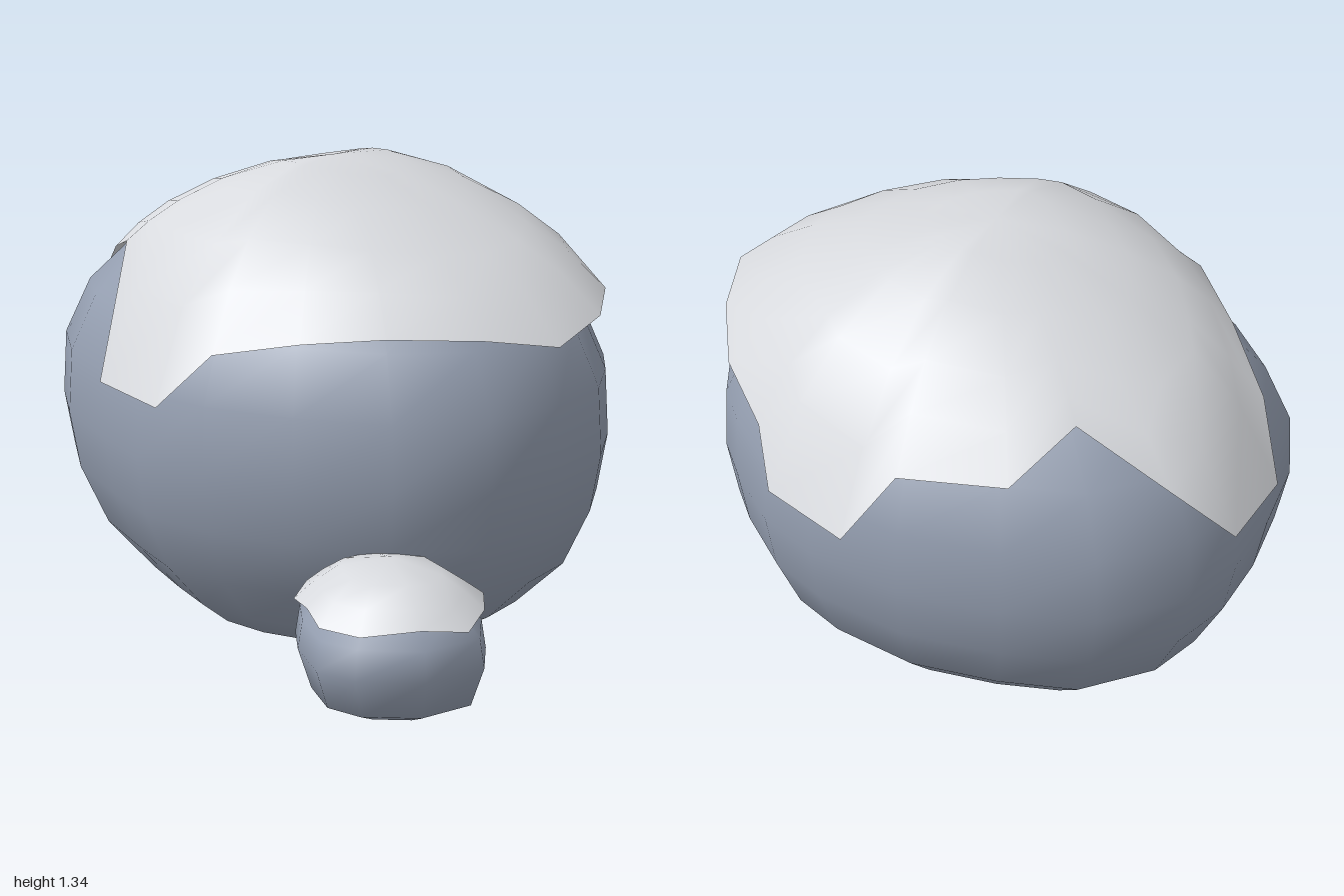
import * as THREE from 'three';
import { mergeVertices } from 'three/addons/utils/BufferGeometryUtils.js';

// Joins closed rings of points, listed from bottom to top, into a smooth surface
function loft(rings) {
  const n = rings[0].length, index = [];
  for (let i = 0; i < rings.length - 1; i++) {
    for (let j = 0; j < n; j++) {
      const k = (j + 1) % n;
      const a = i * n + j, b = i * n + k, c = a + n, d = b + n;
      index.push(a, c, b, b, c, d);
    }
  }
  const geo = new THREE.BufferGeometry();
  geo.setAttribute('position', new THREE.Float32BufferAttribute(rings.flat(2), 3));
  geo.setIndex(index);
  const merged = mergeVertices(geo, 1e-4);
  merged.computeVertexNormals();
  return merged;
}

// Linear lookup in a list of [input, output] pairs
function lookup(table, t) {
  for (let i = 1; i < table.length; i++) {
    const [x0, y0] = table[i - 1], [x1, y1] = table[i];
    if (t <= x1) return y0 + (y1 - y0) * (t - x0) / (x1 - x0);
  }
  return table[table.length - 1][1];
}

// Distance from the centre to the plan outline in the direction of (x, z)
function planRadius(plan, x, z) {
  for (let i = 0; i < plan.length; i++) {
    const [ax, az] = plan[i], [bx, bz] = plan[(i + 1) % plan.length];
    const ex = bx - ax, ez = bz - az, len = Math.hypot(x, z);
    const det = x * ez - z * ex;
    if (Math.abs(det) < 1e-9) continue;
    const t = (ax * ez - az * ex) / det, s = (ax * z - az * x) / det;
    if (t > 0 && s >= -1e-6 && s <= 1 + 1e-6) return t * len;
  }
  return 1;
}

// Stone body: the plan outline scaled, and shifted in z, at each height of the profile
function stone(plan, profile, peakX) {
  const top = profile[profile.length - 1][0];
  return loft(profile.map(([y, s, dz = 0]) => plan.map(([x, z]) =>
    [x * s + peakX * (1 - s) * y / top, y, z * s + dz])));
}

// Snow cap: a dome over the stone, fuller by bulge to front and back, with a ragged edge
function snowCap(plan, dome, bulge, edge, steps, peakX) {
  return loft(steps.map(f => edge.map(([x, z, y]) => {
    const len = Math.hypot(x, z);
    const rho = len / planRadius(plan, x, z);
    const height = r => lookup(dome, r) + bulge * (z / len) ** 2 * Math.max(0, 4 * r * (1 - r * r));
    const s = f * ((1 - f) / rho + f);
    const h = height(s * rho) + f ** 4 * (y - height(rho));
    return [x * s + peakX * (1 - f), h, z * s];
  })));
}

const bigPlan = [
  [0.85, 0], [0.84, 0.26], [0.68, 0.47], [0.45, 0.62], [0.2, 0.72], [-0.05, 0.75], [-0.28, 0.69],
  [-0.57, 0.6], [-0.79, 0.46], [-0.88, 0.22], [-0.93, 0], [-0.92, -0.2], [-0.79, -0.44],
  [-0.57, -0.58], [-0.3, -0.7], [0, -0.735], [0.2, -0.71], [0.42, -0.61], [0.55, -0.53],
  [0.67, -0.4], [0.8, -0.22],
];
const bigProfile = [
  [0, 0, 0.03], [0.005, 0.35, 0.03], [0.02, 0.56, 0.03], [0.09, 0.7, 0.01], [0.23, 0.87], [0.4, 0.965],
  [0.57, 1], [0.76, 0.985], [0.93, 0.89], [1.07, 0.72], [1.17, 0.5], [1.26, 0.25], [1.3, 0],
];
const bigDome = [[0, 1.34], [0.25, 1.3], [0.53, 1.21], [0.76, 1.1], [0.95, 0.965], [1, 0.89], [1.07, 0.76]];
const bigEdge = [
  [0.85, 0.02, 0.925], [0.77, 0.22, 0.96], [0.61, 0.43, 0.97], [0.42, 0.56, 0.945], [0.21, 0.69, 0.9],
  [0.09, 0.79, 0.75], [-0.19, 0.765, 0.765], [-0.4, 0.5, 1.1], [-0.6, 0.39, 1.04], [-0.8, 0.27, 0.94],
  [-0.94, 0.16, 0.77], [-1, -0.12, 0.78], [-0.86, -0.23, 0.92], [-0.63, -0.35, 1.09],
  [-0.57, -0.55, 0.97], [-0.3, -0.69, 0.95], [-0.19, -0.795, 0.75], [0.1, -0.78, 0.76],
  [0.2, -0.71, 0.9], [0.42, -0.61, 0.96], [0.62, -0.43, 0.985], [0.8, -0.2, 0.97],
];

// The small stone is measured from its own centre
const smallPlan = [
  [0.26, -0.07], [0.23, 0.11], [0.1, 0.235], [-0.02, 0.26], [-0.17, 0.19], [-0.27, 0.11],
  [-0.29, -0.06], [-0.18, -0.19], [-0.01, -0.25], [0.16, -0.18],
];
const smallProfile = [
  [0.02, 0], [0.025, 0.57], [0.06, 0.86], [0.17, 1], [0.25, 0.95], [0.31, 0.72], [0.36, 0.35], [0.37, 0],
];
const smallDome = [[0, 0.42], [0.55, 0.388], [0.8, 0.345], [0.95, 0.305], [1.1, 0.285]];
const smallEdge = [
  [0.27, 0, 0.29], [0.22, 0.12, 0.31], [0.1, 0.22, 0.285], [-0.02, 0.25, 0.285], [-0.1, 0.22, 0.31],
  [-0.23, 0.15, 0.285], [-0.28, 0.06, 0.3], [-0.23, -0.09, 0.31], [-0.13, -0.18, 0.31],
  [-0.03, -0.24, 0.285], [0.13, -0.2, 0.31], [0.22, -0.11, 0.31],
];

export function createModel() {
  const rock = new THREE.MeshStandardMaterial({ color: 0x959fb1 });
  rock.name = 'blue grey rock';
  const snow = new THREE.MeshStandardMaterial({ color: 0xd8dade, side: THREE.DoubleSide });
  snow.name = 'snow';

  const model = new THREE.Group();
  model.name = 'snowyBoulders';
  const add = (parent, name, geo, mat) => {
    const mesh = new THREE.Mesh(geo, mat);
    mesh.name = name;
    parent.add(mesh);
  };

  // Large boulder
  const big = new THREE.Group();
  big.name = 'largeBoulder';
  add(big, 'largeStone', stone(bigPlan, bigProfile, -0.05), rock);
  add(big, 'largeSnowCap', snowCap(bigPlan, bigDome, 0.04, bigEdge, [1, 0.86, 0.7, 0.48, 0.24, 0], -0.05), snow);

  // Small boulder at the front
  const small = new THREE.Group();
  small.name = 'smallBoulder';
  small.position.set(0.73, 0, 0.51);
  add(small, 'smallStone', stone(smallPlan, smallProfile, -0.02), rock);
  add(small, 'smallSnowCap', snowCap(smallPlan, smallDome, 0, smallEdge, [1, 0.8, 0.55, 0], -0.02), snow);

  model.add(big, small);
  return model;
}
